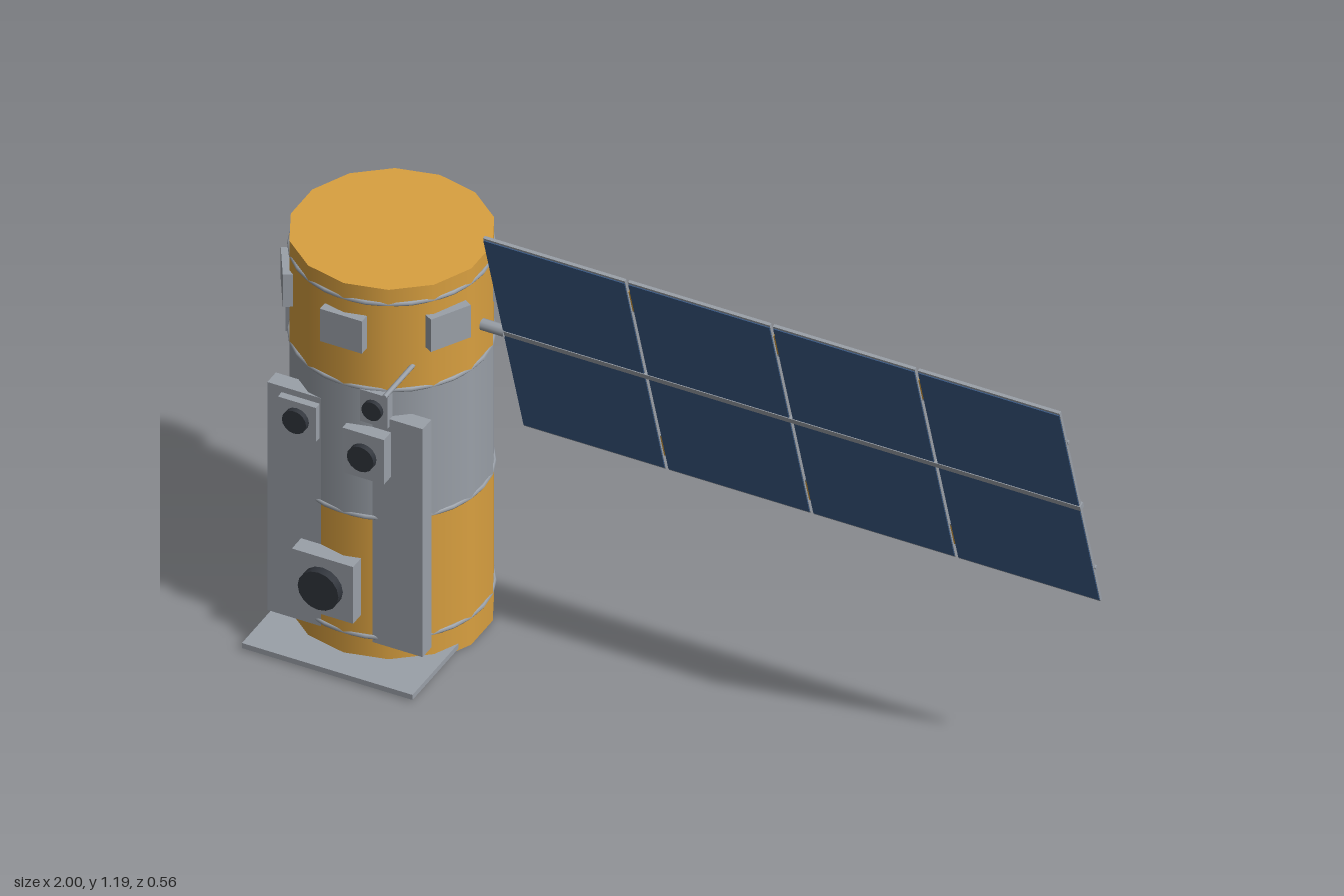
import * as THREE from 'three';

const mat = (name, color) => {
  const m = new THREE.MeshStandardMaterial({ color });
  m.name = name;
  return m;
};

export function createModel() {
  const gold = mat('gold foil', 0xd9a040);
  const grey = mat('grey metal', 0x9aa0a8);
  const blue = mat('blue solar cells', 0x3a5a85);
  const dark = mat('dark glass', 0x30343b);

  const root = new THREE.Group();
  root.name = 'satellite';

  const add = (parent, name, geo, material, x = 0, y = 0, z = 0) => {
    const mesh = new THREE.Mesh(geo, material);
    mesh.name = name;
    mesh.position.set(x, y, z);
    parent.add(mesh);
    return mesh;
  };
  const box = (parent, name, material, w, h, d, x, y, z) =>
    add(parent, name, new THREE.BoxGeometry(w, h, d), material, x, y, z);

  // Body: three stacked drum sections, origin on its axis
  const R = 0.236, SIDES = 14;
  const body = new THREE.Group();
  body.name = 'body';
  body.position.set(-0.76, 0, -0.035);
  root.add(body);
  const sections = [
    ['lowerDrum', gold, 0, 0.408],
    ['middleDrum', grey, 0.408, 0.766],
    ['upperDrum', gold, 0.766, 1.048],
  ];
  for (const [name, material, y0, y1] of sections) {
    add(body, name, new THREE.CylinderGeometry(R, R, y1 - y0, SIDES), material, 0, (y0 + y1) / 2, 0);
  }

  // Thin bands around the drum
  for (const y of [0.075, 0.408, 0.766, 1.005]) {
    const ring = add(body, 'band', new THREE.TorusGeometry(0.231, 0.006, 6, 28), grey, 0, y, 0);
    ring.rotation.x = Math.PI / 2;
  }

  // Six sensor plates around the top
  for (let i = 0; i < 6; i++) {
    const a = (i * Math.PI) / 3;
    const plate = box(body, 'sensorPlate', grey, 0.107, 0.09, 0.024,
      0.237 * Math.sin(a), 0.922, 0.237 * Math.cos(a));
    plate.rotation.y = a;
  }

  // Boxes down the right side
  for (const y of [0.255, 0.517, 0.778]) {
    box(body, 'sideBox', grey, 0.02, 0.11, 0.12, -0.23, y, 0);
  }

  // Front mounting plate, base plate and antenna rod
  box(root, 'mountingPlate', grey, 0.396, 0.635, 0.042, -0.764, 0.378, 0.165);
  box(root, 'basePlate', grey, 0.435, 0.014, 0.385, -0.763, 0.012, 0.0825);
  const rod = add(root, 'antennaRod', new THREE.CylinderGeometry(0.006, 0.006, 0.16, 8), grey, -0.615, 0.828, 0.2);
  rod.rotation.x = Math.PI / 2;

  // Instruments: x, y, box width, box height, back z, front z, lens radius, lens depth
  const instruments = [
    [-0.798, 0.21, 0.156, 0.158, 0.18, 0.231, 0.052, 0.022],
    [-0.70, 0.598, 0.106, 0.124, 0.175, 0.22, 0.034, 0.015],
    [-0.877, 0.632, 0.097, 0.095, 0.17, 0.205, 0.031, 0.014],
    [-0.685, 0.72, 0.07, 0.088, 0.165, 0.198, 0.025, 0.012],
  ];
  for (const [x, y, w, h, z0, z1, r, d] of instruments) {
    box(root, 'instrumentBox', grey, w, h, z1 - z0, x, y, (z0 + z1) / 2);
    const lens = add(root, 'lens', new THREE.CylinderGeometry(r, r, d, 16), dark, x, y, z1 + d / 2);
    lens.rotation.x = Math.PI / 2;
  }

  // Solar wing, tilted about its long axis
  const wing = new THREE.Group();
  wing.name = 'solarWing';
  wing.position.set(0, 0.86, -0.035);
  wing.rotation.x = 0.299;
  root.add(wing);
  const x0 = -0.477, pitch = 0.3695, gap = 0.008, H = 0.68;
  for (let i = 0; i < 4; i++) {
    const w = pitch - gap, x = x0 + pitch * i + pitch / 2;
    box(wing, 'wingPanel', grey, w, H, 0.008, x, 0, 0);
    for (const s of [-1, 1]) {
      box(wing, 'solarCells', blue, w - 0.002, H / 2 - 0.014, 0.003, x, s * (H / 4 + 0.001), 0.005);
    }
    // Gold hinges bridging neighbouring panels
    if (i < 3) {
      for (const s of [-1, 1]) {
        box(wing, 'hinge', gold, 0.026, 0.07, 0.006, x + pitch / 2, s * 0.262, -0.004);
      }
    }
  }
  // Rails on the back, centre bar and arm to the body
  for (const s of [-1, 1]) {
    box(wing, 'rail', grey, 1.474, 0.007, 0.008, 0.262, s * 0.227, -0.005);
  }
  box(wing, 'centreBar', grey, 1.476, 0.015, 0.016, 0.262, 0, 0);
  const arm = add(wing, 'arm', new THREE.CylinderGeometry(0.014, 0.014, 0.09, 10), grey, -0.515, 0, 0);
  arm.rotation.z = Math.PI / 2;

  return root;
}
